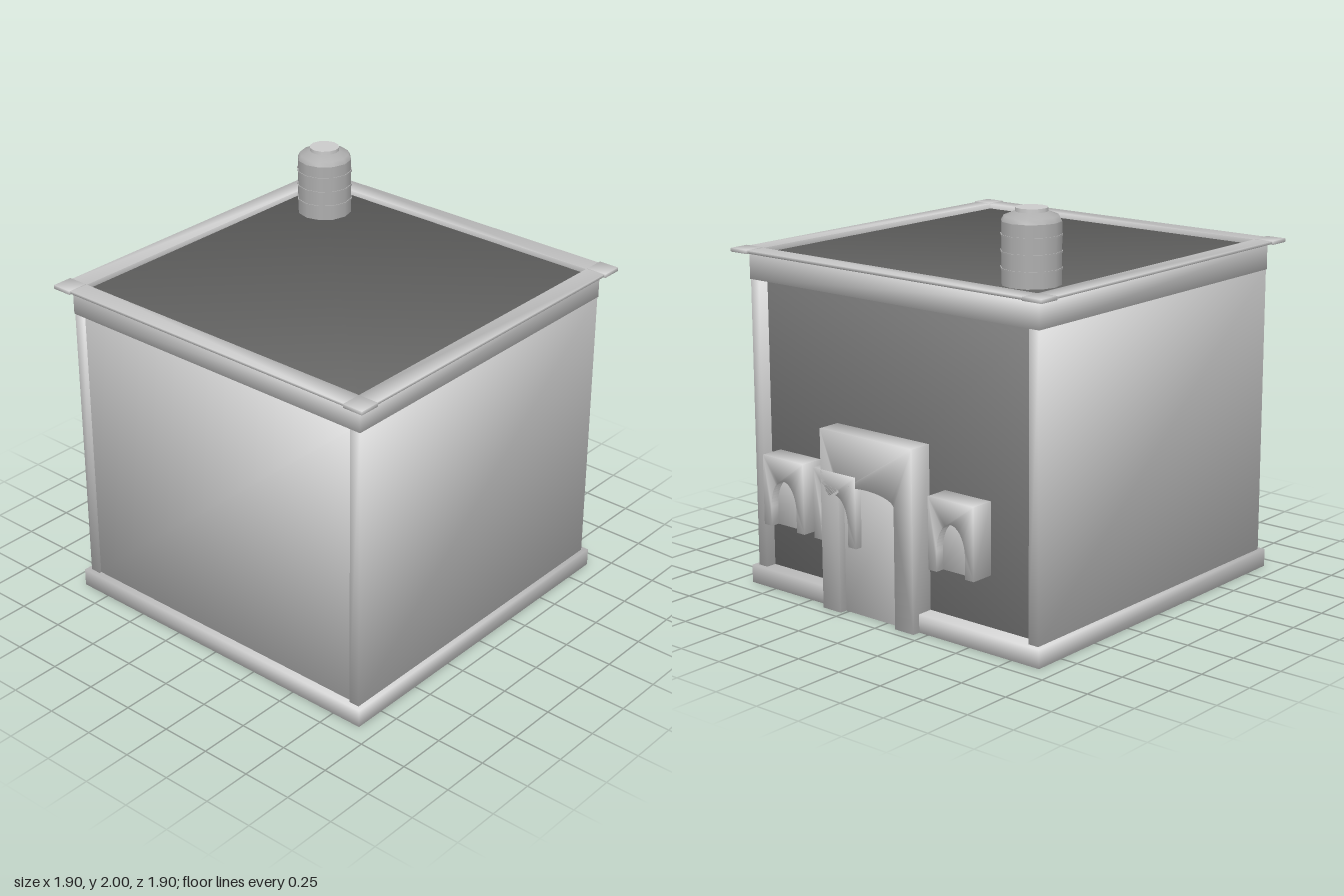
import * as THREE from 'three';

const grey = new THREE.MeshStandardMaterial({ color: 0xcccccc });
const roofGrey = new THREE.MeshStandardMaterial({ color: 0x60605f });
const wallGrey = new THREE.MeshStandardMaterial({ color: 0x787878 });
const tankGrey = new THREE.MeshStandardMaterial({ color: 0xaeaeae });

// Lean each corner's normal towards the other faces that meet there
function soften(source, amount) {
  const geometry = source.index ? source.toNonIndexed() : source;
  geometry.computeVertexNormals();
  const { position, normal } = geometry.attributes;
  const corners = new Map();
  const keys = [], own = [];
  for (let i = 0; i < position.count; i++) {
    const p = new THREE.Vector3().fromBufferAttribute(position, i);
    const n = new THREE.Vector3().fromBufferAttribute(normal, i);
    const key = p.toArray().map((v) => Math.round(v * 1e4)).join();
    if (!corners.has(key)) corners.set(key, []);
    const list = corners.get(key);
    if (!list.some((m) => m.dot(n) > 0.99)) list.push(n);
    keys.push(key);
    own.push(n);
  }
  own.forEach((n, i) => {
    const soft = n.clone();
    for (const m of corners.get(keys[i])) if (m.dot(n) <= 0.99) soft.addScaledVector(m, amount);
    soft.normalize();
    normal.setXYZ(i, soft.x, soft.y, soft.z);
  });
  return geometry;
}

function add(group, name, geometry, material = grey) {
  const mesh = new THREE.Mesh(geometry, material);
  mesh.name = name;
  group.add(mesh);
  return mesh;
}

// Softly shaded box given by its minimum and maximum on each axis
function block(group, name, [x0, x1], [y0, y1], [z0, z1], softness = 1, material = grey) {
  const box = soften(new THREE.BoxGeometry(x1 - x0, y1 - y0, z1 - z0), softness);
  const mesh = add(group, name, box, material);
  mesh.position.set((x0 + x1) / 2, (y0 + y1) / 2, (z0 + z1) / 2);
}

const WALL_X = 0.83, FACE_X = 0.95;

// Surround on the +x wall with an arched opening, open at the bottom, and a panel behind it
function archedSurround(name, { z, width, y0, y1, open, spring, peak, panelX }) {
  const group = new THREE.Group();
  group.name = name;
  const w = width / 2, o = open / 2;
  const shape = new THREE.Shape();
  shape.moveTo(-w, y0);
  shape.lineTo(-o, y0);
  shape.lineTo(-o, spring);
  shape.absellipse(0, spring, o, peak - spring, Math.PI, 0, true);
  shape.lineTo(o, y0);
  shape.lineTo(w, y0);
  shape.lineTo(w, y1);
  shape.lineTo(-w, y1);
  shape.closePath();
  const geometry = new THREE.ExtrudeGeometry(shape, {
    depth: FACE_X - WALL_X, bevelEnabled: false, curveSegments: 12,
  });
  geometry.rotateY(Math.PI / 2);
  geometry.translate(WALL_X, 0, 0);
  add(group, name + 'Frame', soften(geometry, 0.7));
  block(group, name + 'Panel', [WALL_X, panelX], [y0, peak + 0.01], [-o - 0.01, o + 0.01], 0.4);
  group.position.z = z;
  return group;
}

// Straight-sided water tank with thin hoops, a sloping shoulder and a lid
function waterTank() {
  const group = new THREE.Group();
  group.name = 'waterTank';
  const drum = (name, radius, y, height, material) => {
    const mesh = add(group, name, new THREE.CylinderGeometry(radius, radius, height, 12), material);
    mesh.position.y = y + height / 2;
  };
  drum('tankBody', 0.137, 0, 0.285, tankGrey);
  for (const y of [0.07, 0.145, 0.22]) drum('tankHoop', 0.141, y, 0.008, tankGrey);
  const shoulder = [[0.137, 0.285], [0.125, 0.308], [0.073, 0.328]]
    .map(([r, y]) => new THREE.Vector2(r, y));
  add(group, 'tankShoulder', new THREE.LatheGeometry(shoulder, 12), tankGrey);
  drum('tankLid', 0.075, 0.325, 0.02, grey);
  group.position.set(0.605, 1.655, -0.615);
  return group;
}

export function createModel() {
  const model = new THREE.Group();
  model.name = 'house';

  // Plinth, beam and roof
  block(model, 'plinth', [-0.91, 0.91], [0, 0.09], [-0.91, 0.91]);
  block(model, 'topBeam', [-0.888, 0.888], [1.53, 1.65], [-0.888, 0.888]);
  block(model, 'roof', [-0.845, 0.845], [1.6, 1.655], [-0.845, 0.845], 0.4, roofGrey);

  // Front and back walls, whose ends frame the recessed side walls
  block(model, 'frontWall', [-0.885, 0.885], [0.09, 1.53], [0.83, 0.885]);
  block(model, 'backWall', [-0.885, 0.885], [0.09, 1.53], [-0.885, -0.83]);
  block(model, 'rightWall', [-0.873, 0], [0.09, 1.53], [-0.84, 0.84]);
  block(model, 'leftWall', [0, WALL_X], [0.09, 1.53], [-0.84, 0.84], 0.4, wallGrey);

  // Cornice: a four-sided ring with a sloping underside, and a block on each corner
  const section = [[0.885, 1.65], [0.942, 1.667], [0.942, 1.679], [0.84, 1.679], [0.84, 1.65]]
    .map(([r, y]) => new THREE.Vector2(r * Math.SQRT2, y));
  const ring = new THREE.LatheGeometry(section, 4, Math.PI / 4);
  add(model, 'cornice', soften(ring, 0.5));
  for (const x of [-0.897, 0.897]) {
    for (const z of [-0.897, 0.897]) {
      block(model, 'corniceCorner', [x - 0.053, x + 0.053], [1.664, 1.682], [z - 0.053, z + 0.053], 0.5);
    }
  }

  // Doorway and windows
  model.add(archedSurround('doorway', {
    z: 0.092, width: 0.58, y0: 0, y1: 0.89, open: 0.35, spring: 0.59, peak: 0.64, panelX: 0.912,
  }));
  for (const z of [0.635, 0.295, -0.43]) {
    model.add(archedSurround('window', {
      z, width: 0.272, y0: 0.34, y1: 0.69, open: 0.17, spring: 0.44, peak: 0.58, panelX: 0.905,
    }));
  }

  model.add(waterTank());
  return model;
}
